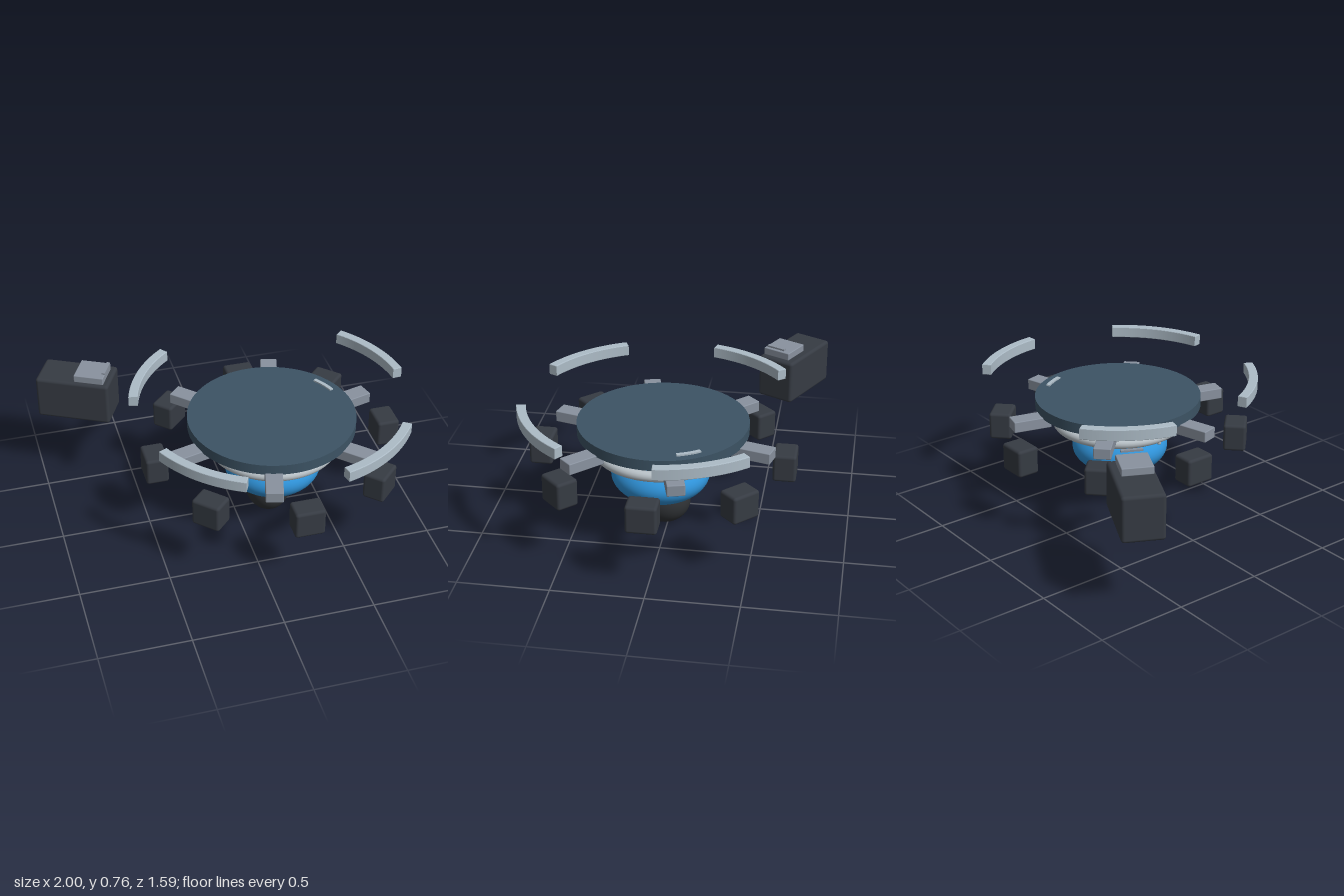
import * as THREE from 'three';
import { RoundedBoxGeometry } from 'three/addons/geometries/RoundedBoxGeometry.js';

const CX = 0.21, CZ = 0.025; // shared axis of all the rings
const rad = THREE.MathUtils.degToRad;

function material(name, color, side = THREE.FrontSide) {
  const m = new THREE.MeshStandardMaterial({ color, side });
  m.name = name;
  return m;
}

// flat curved bar around the shared axis, standing on height 0
function arcBar(inner, outer, from, to, height, bevel = 0) {
  const shape = new THREE.Shape();
  const pad = bevel / outer;
  shape.absarc(0, 0, outer - bevel, rad(from) + pad, rad(to) - pad, false);
  shape.absarc(0, 0, inner + bevel, rad(to) - pad, rad(from) + pad, true);
  const geo = new THREE.ExtrudeGeometry(shape, {
    depth: height - 2 * bevel, curveSegments: 20,
    bevelEnabled: bevel > 0, bevelSize: bevel, bevelThickness: bevel, bevelSegments: 2,
  });
  return geo.translate(0, 0, bevel).rotateX(-Math.PI / 2);
}

export function createModel() {
  const root = new THREE.Group();
  root.name = 'hoverStation';

  const slate = material('slate', 0x3c5364);
  const blue = material('blue', 0x3095dc);
  const charcoal = material('charcoal', 0x363b43);
  const black = material('black', 0x303336);
  const steel = material('steel', 0x89929f);
  const paleSteel = material('paleSteel', 0xadbcc7);
  const silver = material('silver', 0xbac3c9);

  function add(name, geo, mat, x, y, z, parent = root) {
    const mesh = new THREE.Mesh(geo, mat);
    mesh.name = name;
    mesh.position.set(x, y, z);
    parent.add(mesh);
    return mesh;
  }

  // place a part at an angle on a circle, local +x pointing outward
  function addRadial(name, geo, mat, angle, radius, y) {
    const a = rad(angle);
    const mesh = add(name, geo, mat, CX + radius * Math.cos(a), y, CZ - radius * Math.sin(a));
    mesh.rotation.y = a;
    return mesh;
  }

  // central stack: dark ball, blue body, ring and deck
  add('bottomBall', new THREE.SphereGeometry(1, 40, 24), black, 0.193, 0.14, 0.022)
    .scale.set(0.126, 0.14, 0.147);
  add('body', new THREE.SphereGeometry(1, 48, 32), blue, 0.214, 0.32, 0.04)
    .scale.set(0.274, 0.15, 0.274);
  add('collarRing', new THREE.TorusGeometry(0.35, 0.029, 16, 72).rotateX(Math.PI / 2), silver,
    0.216, 0.478, 0.034);
  add('deck', new THREE.CylinderGeometry(0.471, 0.471, 0.06, 72), slate, CX, 0.606, CZ);

  // thin trims above and below the deck rim
  add('deckTrim', arcBar(0.405, 0.427, 18.5, 37, 0.009), paleSteel, CX, 0.636, CZ);
  add('underTrim', arcBar(0.4, 0.425, 216, 238, 0.022), blue, CX, 0.554, CZ);

  // tiny beads beside the body
  addRadial('bead', new THREE.SphereGeometry(0.012, 12, 8), silver, 193, 0.3, 0.415);
  addRadial('bead', new THREE.SphereGeometry(0.012, 12, 8), silver, 50, 0.31, 0.447);

  // six arms below the deck
  const armGeo = new RoundedBoxGeometry(0.218, 0.064, 0.096, 2, 0.005);
  for (let i = 0; i < 6; i++) addRadial('arm', armGeo, steel, 15 + i * 60, 0.528, 0.551);

  // eight floating pods
  const podGeo = new RoundedBoxGeometry(0.127, 0.157, 0.167, 3, 0.016);
  for (let i = 0; i < 8; i++) addRadial('pod', podGeo, charcoal, i * 45, 0.673, 0.428);

  // four floating guard rails
  for (const [from, to] of [[5, 42.5], [128, 165.5], [205, 244], [283.7, 325.2]]) {
    add('guardRail', arcBar(0.738, 0.79, from, to, 0.064, 0.004), paleSteel, CX, 0.699, CZ);
  }

  // detached crate with a lid plate and a thin handle
  const crate = new THREE.Group();
  crate.name = 'crate';
  crate.position.set(-0.767, 0, -0.61);
  crate.rotation.y = rad(-27);
  root.add(crate);
  add('crateBody', new RoundedBoxGeometry(0.428, 0.254, 0.226, 3, 0.018), charcoal, 0, 0.55, 0, crate);
  add('cratePlate', new RoundedBoxGeometry(0.172, 0.044, 0.168, 2, 0.005), steel, 0.098, 0.699, 0.014, crate);
  add('crateHandle', new THREE.BoxGeometry(0.02, 0.01, 0.115), steel, 0.181, 0.739, 0.015, crate);

  return root;
}
